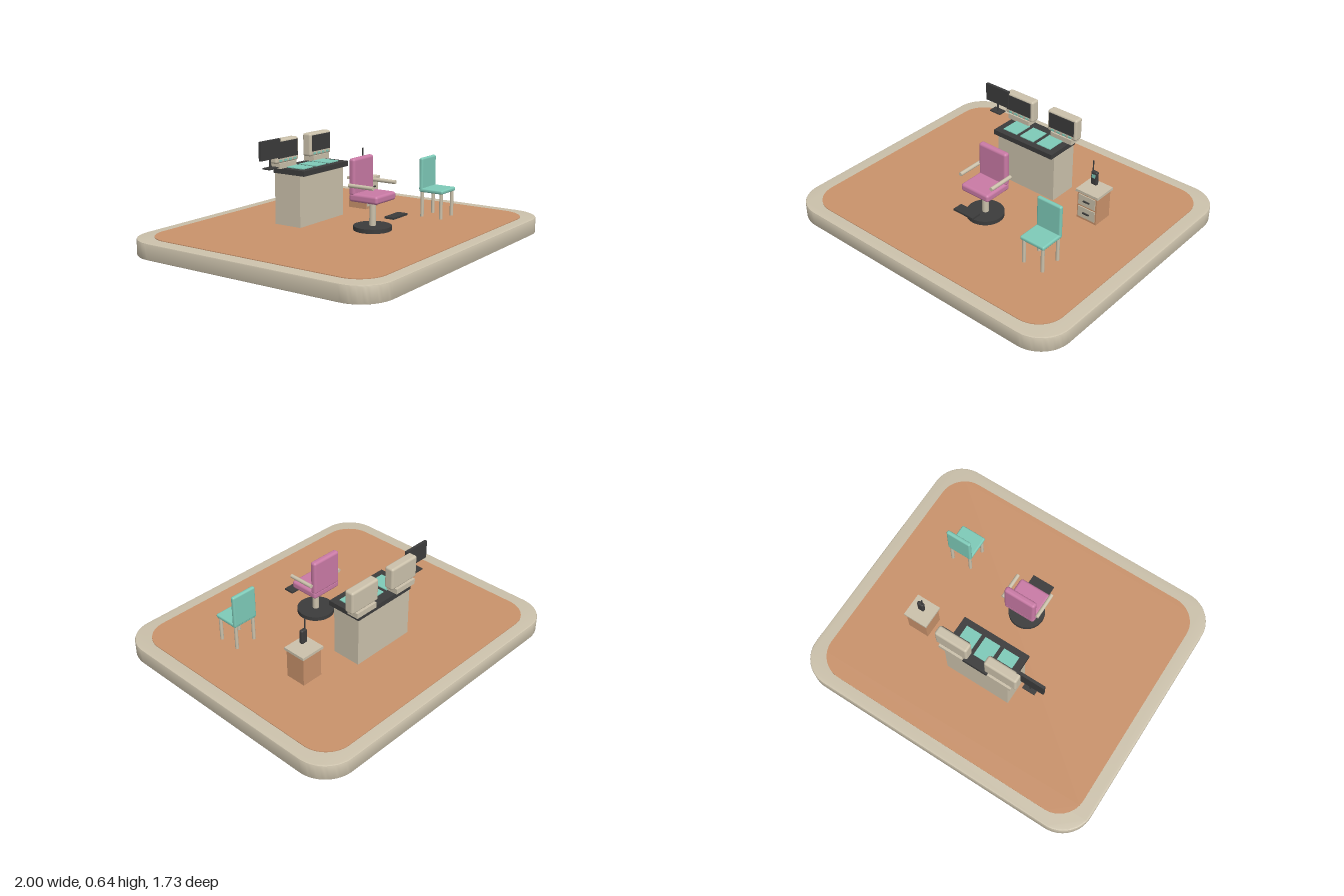
import * as THREE from 'three';
import { RoundedBoxGeometry } from 'three/addons/geometries/RoundedBoxGeometry.js';
import { toCreasedNormals } from 'three/addons/utils/BufferGeometryUtils.js';

function mat(name, color) {
  const m = new THREE.MeshStandardMaterial({ color });
  m.name = name;
  return m;
}

export function createModel() {
  const beige = mat('warm beige', 0xcbc1ab);
  const terracotta = mat('terracotta', 0xc9926b);
  const teal = mat('soft teal', 0x7ecab8);
  const pink = mat('dusty pink', 0xc97aa5);
  const dark = mat('charcoal', 0x3c3c3c);

  const model = new THREE.Group();
  model.name = 'workstation';

  function group(name, x = 0, y = 0, z = 0) {
    const g = new THREE.Group();
    g.name = name;
    g.position.set(x, y, z);
    model.add(g);
    return g;
  }
  function add(parent, name, geo, material, x, y, z) {
    const m = new THREE.Mesh(geo, material);
    m.name = name;
    m.position.set(x, y, z);
    parent.add(m);
    return m;
  }
  // Boxes are given by their limits on each axis; r rounds the edges.
  function box(parent, name, material, [x0, x1], [y0, y1], [z0, z1], r = 0) {
    const s = [x1 - x0, y1 - y0, z1 - z0];
    const geo = r ? new RoundedBoxGeometry(...s, 3, r) : new THREE.BoxGeometry(...s);
    return add(parent, name, geo, material, (x0 + x1) / 2, (y0 + y1) / 2, (z0 + z1) / 2);
  }
  function post(parent, name, material, r, x, y0, y1, z, sides = 20) {
    return add(parent, name, new THREE.CylinderGeometry(r, r, y1 - y0, sides), material, x, (y0 + y1) / 2, z);
  }
  // Horizontal slab with rounded corners
  function slab(name, material, hx, hz, r, y0, y1, bevel) {
    const s = new THREE.Shape();
    const a = hx - bevel, b = hz - bevel, q = r - bevel;
    s.moveTo(a, -b + q);
    s.absarc(a - q, b - q, q, 0, Math.PI / 2);
    s.absarc(-a + q, b - q, q, Math.PI / 2, Math.PI);
    s.absarc(-a + q, -b + q, q, Math.PI, Math.PI * 1.5);
    s.absarc(a - q, -b + q, q, Math.PI * 1.5, Math.PI * 2);
    const geo = new THREE.ExtrudeGeometry(s, {
      depth: y1 - y0 - 2 * bevel, bevelEnabled: bevel > 0, bevelSize: bevel,
      bevelThickness: bevel, bevelSegments: 2, curveSegments: 10,
    });
    geo.rotateX(-Math.PI / 2);
    add(model, name, toCreasedNormals(geo, 0.6), material, 0, y0 + bevel, 0);
  }

  // Platform and floor
  slab('platform', beige, 1, 0.863, 0.2, 0, 0.1, 0.008);
  slab('floor', terracotta, 0.915, 0.785, 0.17, 0.098, 0.104, 0);

  // Console desk with three control panels
  const desk = group('console');
  box(desk, 'consoleBody', beige, [-0.22, 0.22], [0.1, 0.424], [-0.36, -0.17]);
  box(desk, 'consoleTop', dark, [-0.225, 0.225], [0.42, 0.452], [-0.365, -0.135]);
  for (const x of [-0.13, 0, 0.13]) {
    box(desk, 'controlPanel', teal, [x - 0.052, x + 0.052], [0.451, 0.457], [-0.305, -0.176]);
  }

  // Pair of thick monitors with a row of buttons
  for (const side of [-1, 1]) {
    const m = group(side < 0 ? 'rightMonitor' : 'leftMonitor', side * 0.167, 0, 0);
    box(m, 'monitorBase', beige, [-0.08, 0.08], [0.452, 0.486], [-0.376, -0.298]);
    box(m, 'monitorCase', beige, [-0.109, 0.109], [0.484, 0.628], [-0.364, -0.302], 0.014);
    box(m, 'monitorScreen', dark, [-0.093, 0.093], [0.515, 0.615], [-0.304, -0.298]);
    for (let i = 0; i < 4; i++) {
      const x = -0.066 + i * 0.044;
      box(m, 'monitorButton', teal, [x - 0.012, x + 0.012], [0.495, 0.506], [-0.304, -0.298]);
    }
  }

  // Slim side display
  const side = group('sideDisplay', -0.337, 0, 0);
  box(side, 'displayPanel', dark, [-0.09, 0.09], [0.524, 0.638], [-0.31, -0.292]);
  post(side, 'displayPost', dark, 0.007, 0, 0.472, 0.53, -0.3, 12);
  box(side, 'displayFoot', dark, [-0.041, 0.041], [0.467, 0.475], [-0.325, -0.27]);

  // Swivel chair
  const chair = group('swivelChair');
  post(chair, 'swivelBase', dark, 0.115, 0, 0.1, 0.13, 0.202, 32);
  post(chair, 'swivelPost', beige, 0.02, 0, 0.128, 0.285, 0.202);
  box(chair, 'footrest', dark, [-0.075, 0.075], [0.203, 0.215], [0.333, 0.397]);
  box(chair, 'swivelSeat', pink, [-0.105, 0.105], [0.28, 0.33], [0.102, 0.3], 0.016);
  box(chair, 'swivelBackrest', pink, [-0.105, 0.105], [0.315, 0.537], [0.1, 0.141], 0.016);
  for (const x of [-0.12, 0.12]) {
    const arm = add(chair, 'armrest', new THREE.CylinderGeometry(0.012, 0.012, 0.17, 16), beige, x, 0.38, 0.2);
    arm.rotation.x = Math.PI / 2;
  }

  // Visitor chair
  const visitor = group('visitorChair', 0.532, 0, 0);
  box(visitor, 'visitorSeat', teal, [-0.085, 0.085], [0.262, 0.287], [0.25, 0.418], 0.01);
  box(visitor, 'visitorBackrest', teal, [-0.085, 0.085], [0.27, 0.477], [0.248, 0.274], 0.011);
  for (const x of [-0.067, 0.067]) for (const z of [0.265, 0.4]) {
    post(visitor, 'visitorLeg', beige, 0.011, x, 0.1, 0.267, z, 14);
  }

  // Drawer cabinet
  const cab = group('cabinet', 0.5, 0, 0);
  box(cab, 'cabinetBody', terracotta, [-0.07, 0.07], [0.1, 0.291], [-0.268, -0.135]);
  box(cab, 'cabinetTop', beige, [-0.08, 0.08], [0.29, 0.307], [-0.278, -0.127]);
  for (const y of [0.158, 0.243]) {
    box(cab, 'drawerFront', beige, [-0.06, 0.06], [y - 0.036, y + 0.036], [-0.137, -0.129]);
    box(cab, 'drawerHandle', dark, [-0.022, 0.022], [y - 0.004, y + 0.004], [-0.13, -0.121]);
  }

  // Hand radio
  const radio = group('handRadio', 0.5, 0, -0.2);
  box(radio, 'radioBody', dark, [-0.022, 0.022], [0.335, 0.427], [-0.013, 0.013], 0.01);
  box(radio, 'radioScreen', teal, [-0.012, 0.012], [0.385, 0.41], [0.01, 0.015]);
  post(radio, 'radioAntenna', dark, 0.004, -0.014, 0.42, 0.494, 0, 10);

  return model;
}
